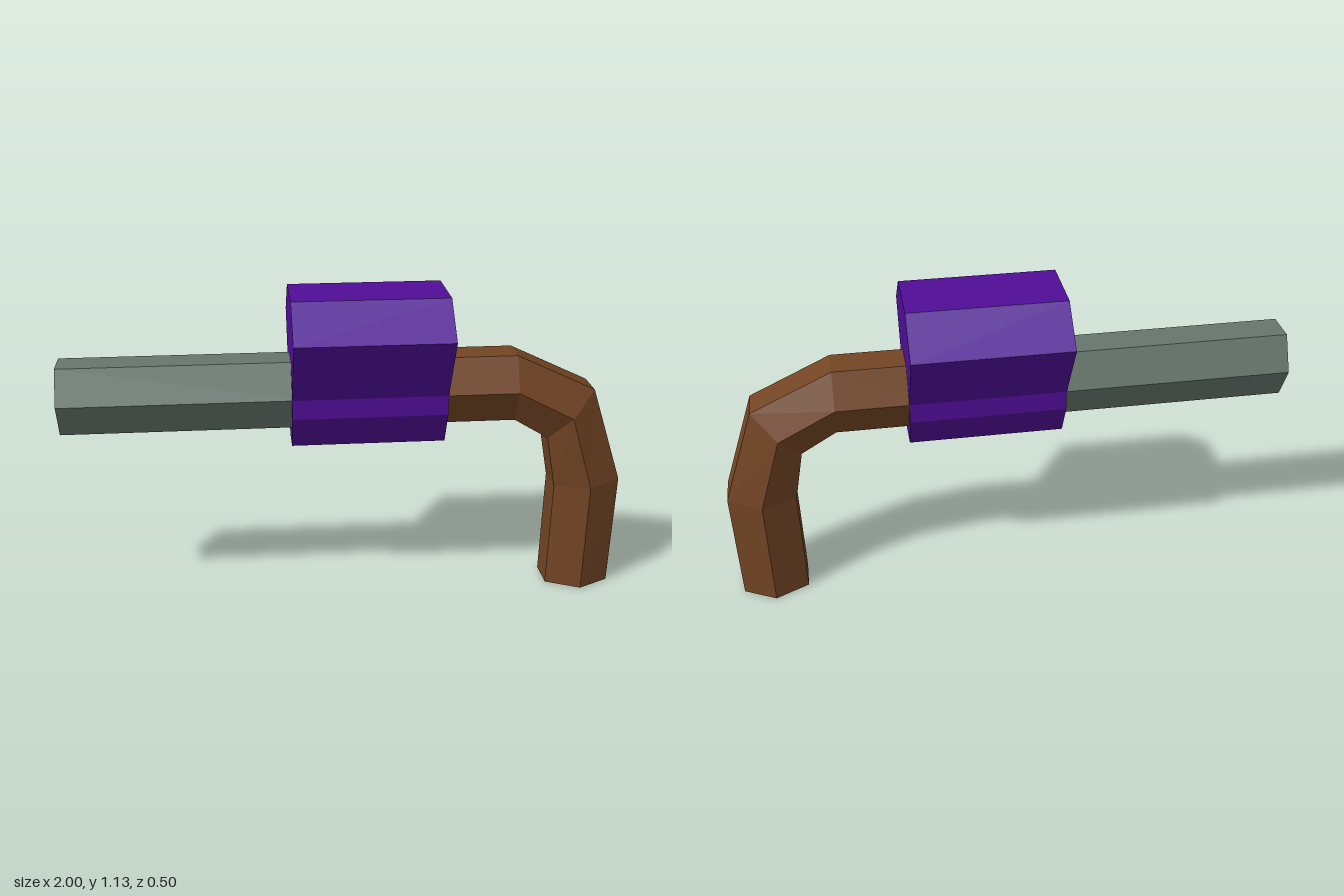
import * as THREE from 'three';

// Open hexagonal tube. Each station gives [x, y] of its outer, middle and inner edges.
function hexTube(stations) {
  const positions = [], index = [];
  const edges = [[0, 0.06], [1, 0.12], [2, 0.06], [2, -0.06], [1, -0.12], [0, -0.06]];
  stations.forEach((station, i) => {
    edges.forEach(([edge, z], k) => {
      positions.push(...station[edge], z);
      if (i === 0) return;
      const a = (i - 1) * 6 + k, d = (i - 1) * 6 + (k + 1) % 6;
      index.push(a, d, d + 6, a, d + 6, a + 6);
    });
  });
  const indexed = new THREE.BufferGeometry();
  indexed.setAttribute('position', new THREE.Float32BufferAttribute(positions, 3));
  indexed.setIndex(index);
  const geometry = indexed.toNonIndexed();
  geometry.computeVertexNormals();
  return geometry;
}

function material(name, color, side = THREE.FrontSide) {
  const m = new THREE.MeshStandardMaterial({ color, side, flatShading: true });
  m.name = name;
  return m;
}

export function createModel() {
  const group = new THREE.Group();
  const add = (name, geometry, mat) => {
    const mesh = new THREE.Mesh(geometry, mat);
    mesh.name = name;
    group.add(mesh);
  };
  const straight = x => [[x, 0.9], [x, 0.78], [x, 0.66]];

  // Straight hollow barrel
  add('barrel', hexTube([straight(-1), straight(-0.15)]),
    material('greyGreen', 0x66756c, THREE.DoubleSide));

  // Curved hollow handle
  add('handle', hexTube([
    straight(0.3),
    straight(0.6),
    [[0.885, 0.765], [0.8, 0.675], [0.725, 0.585]],
    [[1.0, 0.415], [0.88, 0.405], [0.76, 0.395]],
    [[0.985, 0], [0.87, 0], [0.75, 0]],
  ]), material('brown', 0x734524, THREE.DoubleSide));

  // Central body: mirrored profile drawn out along x
  const half = [[0.06, 0.59], [0.12, 0.71], [0.12, 0.78], [0.25, 1.01], [0.12, 1.13]];
  const mirrored = half.map(([z, y]) => [-z, y]).reverse();
  const profile = new THREE.Shape([...half, ...mirrored].map(([z, y]) => new THREE.Vector2(z, y)));
  const body = new THREE.ExtrudeGeometry(profile, { depth: 0.545, bevelEnabled: false });
  body.rotateY(Math.PI / 2);
  body.translate(-0.197, 0, 0);
  add('body', body, material('purple', 0x500e97));

  return group;
}
